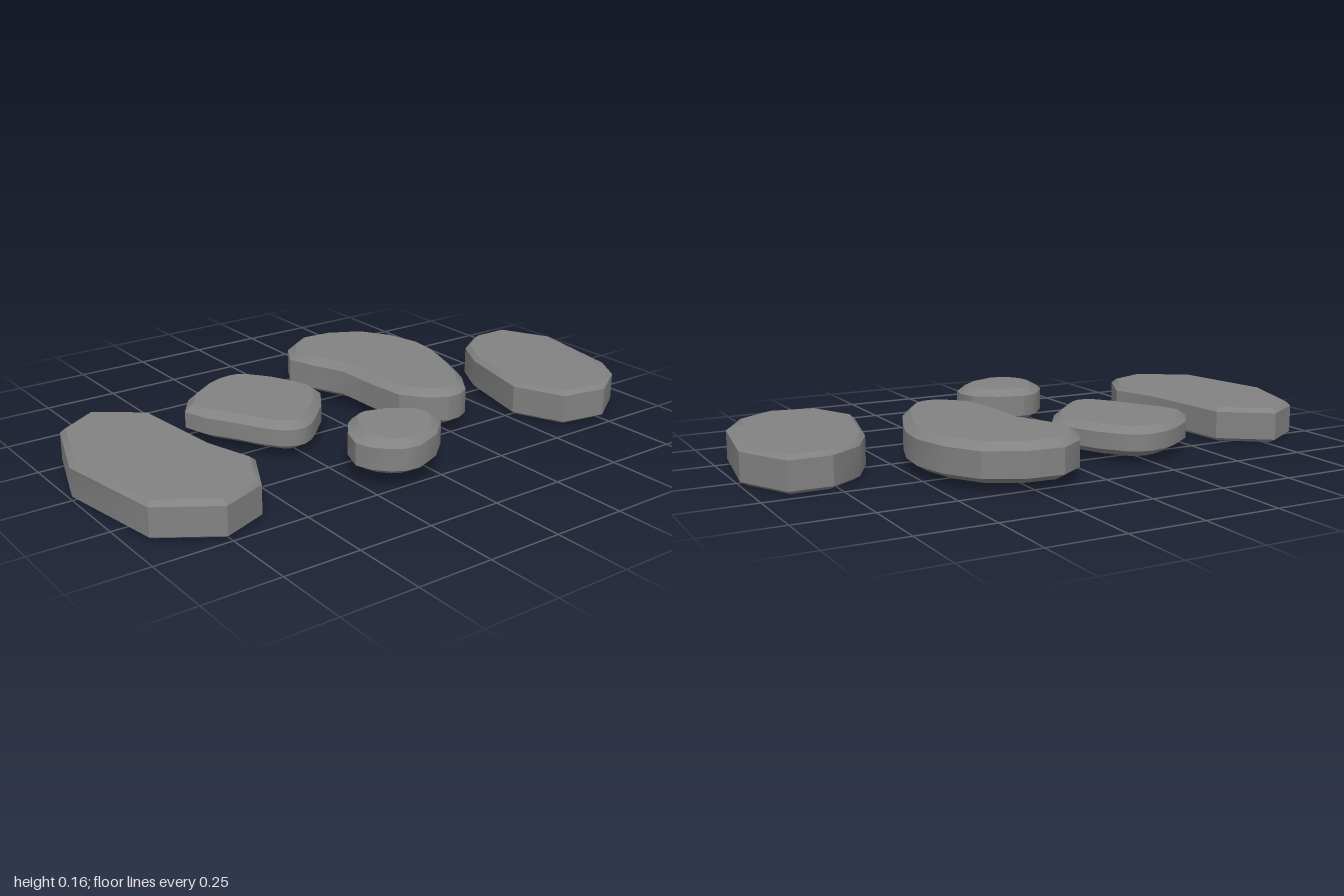
import * as THREE from 'three';
import { toCreasedNormals } from 'three/addons/utils/BufferGeometryUtils.js';

// Outline corners [x, z, extra top bevel] run clockwise seen from above.
// Rounded stones get one spline point between each pair of corners.
function makeOutline(corners, rounded) {
  const points = corners.map(([x, z, extra = 0]) => new THREE.Vector3(x, z, extra));
  if (!rounded) return points;
  const curve = new THREE.CatmullRomCurve3(points, true);
  return curve.getPoints(points.length * 2).slice(0, -1);
}

// Moves every corner inwards by a mitred distance
function insetOutline(outline, distance) {
  const n = outline.length;
  const inward = (a, b) => new THREE.Vector2(a.y - b.y, b.x - a.x).normalize();
  return outline.map((p, i) => {
    const a = inward(outline[(i + n - 1) % n], p);
    const b = inward(p, outline[(i + 1) % n]);
    const scale = distance(p) / (1 + a.dot(b));
    return new THREE.Vector2(p.x + (a.x + b.x) * scale, p.y + (a.y + b.y) * scale);
  });
}

// Stacks four rings into a bevelled slab and closes both ends
function stoneGeometry(outline, base, top, lowBevel, highBevel) {
  const n = outline.length;
  const rings = [
    insetOutline(outline, () => lowBevel),
    outline,
    outline,
    insetOutline(outline, (p) => highBevel + p.z),
  ];
  const heights = [base, base + lowBevel * 0.6, top - highBevel * 0.85, top];
  const positions = [];
  const index = [];
  rings.forEach((ring, k) => ring.forEach((p) => positions.push(p.x, heights[k], p.y)));

  for (let k = 0; k < 3; k++) {
    for (let i = 0; i < n; i++) {
      const a = k * n + i;
      const b = k * n + (i + 1) % n;
      index.push(b, a, a + n, b, a + n, b + n);
    }
  }

  const addCap = (k, facesUp) => {
    const pts = rings[k];
    const o = k * n;
    for (const [a, b, c] of THREE.ShapeUtils.triangulateShape([...pts], [])) {
      const turn = (pts[b].x - pts[a].x) * (pts[c].y - pts[a].y) - (pts[b].y - pts[a].y) * (pts[c].x - pts[a].x);
      if ((turn < 0) === facesUp) index.push(o + a, o + b, o + c);
      else index.push(o + a, o + c, o + b);
    }
  };
  addCap(0, false);
  addCap(3, true);

  const geometry = new THREE.BufferGeometry();
  geometry.setAttribute('position', new THREE.Float32BufferAttribute(positions, 3));
  geometry.setIndex(index);
  return toCreasedNormals(geometry, 0.5);
}

export function createModel() {
  const group = new THREE.Group();
  group.name = 'steppingStones';
  const stoneGrey = new THREE.MeshStandardMaterial({ color: 0x838282 });
  stoneGrey.name = 'stone grey';

  const addStone = (name, rounded, [base, top, lowBevel, highBevel], corners) => {
    const outline = makeOutline(corners, rounded);
    const mesh = new THREE.Mesh(stoneGeometry(outline, base, top, lowBevel, highBevel), stoneGrey);
    mesh.name = name;
    group.add(mesh);
  };

  // Two long angular stones at the ends
  addStone('rightEndStone', false, [0, 0.12, 0.022, 0.017], [
    [-1, 0], [-0.91, -0.27], [-0.77, -0.36], [-0.61, -0.24], [-0.58, 0.1],
    [-0.53, 0.27], [-0.61, 0.43], [-0.76, 0.49], [-0.94, 0.37]]);
  addStone('leftEndStone', false, [0, 0.12, 0.022, 0.016], [
    [0.77, -0.22], [0.91, -0.22], [1, -0.04], [0.953, 0.27, 0.04], [0.89, 0.375],
    [0.755, 0.463], [0.595, 0.435], [0.52, 0.265], [0.59, -0.015], [0.66, -0.145]]);

  // Three rounded stones in the middle
  addStone('squareStone', true, [0.02, 0.122, 0.04, 0.027], [
    [-0.5, -0.21], [-0.345, -0.365], [-0.235, -0.4], [-0.16, -0.375], [-0.05, -0.185],
    [-0.042, -0.09], [-0.19, 0.09], [-0.26, 0.135], [-0.33, 0.115], [-0.415, -0.025]]);
  addStone('kidneyStone', true, [0.022, 0.15, 0.035, 0.028], [
    [0.027, -0.38], [0.165, -0.53], [0.405, -0.46], [0.505, -0.22], [0.455, 0],
    [0.335, 0.225], [0.24, 0.25], [0.12, 0.135], [0.105, -0.16]]);
  addStone('smallStone', true, [0.036, 0.155, 0.04, 0.027], [
    [-0.253, 0.395, 0.015], [-0.175, 0.25], [-0.105, 0.217], [0.06, 0.3],
    [0.065, 0.415], [-0.105, 0.522], [-0.195, 0.495]]);

  return group;
}
